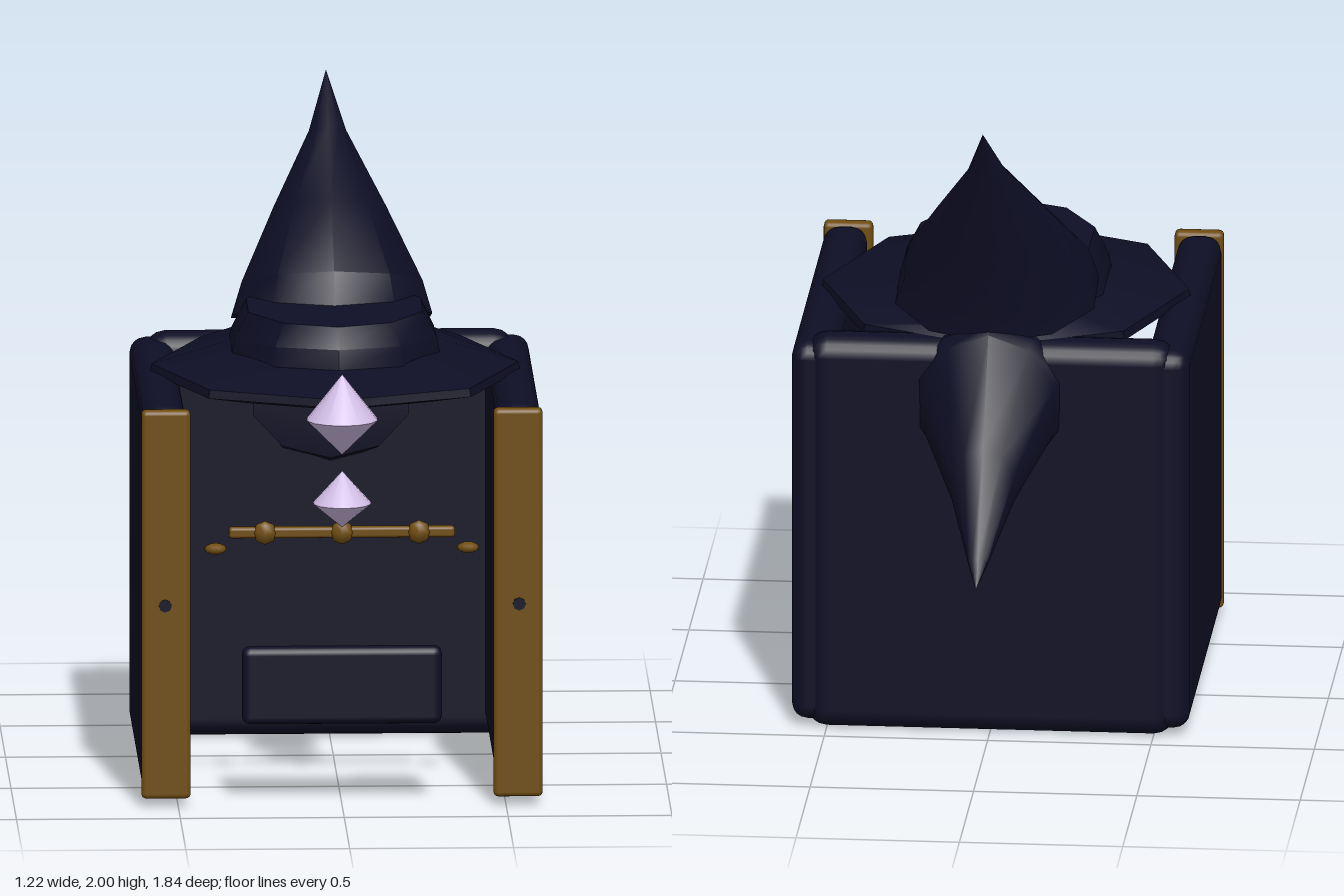
import * as THREE from 'three';
import { toCreasedNormals } from 'three/addons/utils/BufferGeometryUtils.js';
import { RoundedBoxGeometry } from 'three/addons/geometries/RoundedBoxGeometry.js';

// Skin a stack of tilted ellipses; each ring is [halfWidth, zFront, yFront, zBack, yBack].
function loft(rings, sides, crease = 0.7) {
  const pos = [], index = [];
  for (const [rx, zf, yf, zb, yb] of rings) {
    for (let j = 0; j < sides; j++) {
      const a = (j / sides) * Math.PI * 2, t = (1 + Math.cos(a)) / 2;
      pos.push(rx * Math.sin(a), yb + (yf - yb) * t, zb + (zf - zb) * t);
    }
  }
  for (let i = 0; i < rings.length - 1; i++) {
    for (let j = 0; j < sides; j++) {
      const k = (j + 1) % sides, a = i * sides, b = a + sides;
      index.push(a + j, a + k, b + k, a + j, b + k, b + j);
    }
  }
  const g = new THREE.BufferGeometry();
  g.setAttribute('position', new THREE.Float32BufferAttribute(pos, 3));
  g.setIndex(index);
  return toCreasedNormals(g, crease);
}

export function createModel() {
  const model = new THREE.Group();
  const material = (name, color) => {
    const m = new THREE.MeshStandardMaterial({ color });
    m.name = name;
    return m;
  };
  const navy = material('midnight navy', 0x0e0e25);
  const gold = material('dark gold', 0x704d10);
  const lilac = material('pale lilac', 0xd0bce4);

  const add = (name, geometry, mat, x = 0, y = 0, z = 0) => {
    const mesh = new THREE.Mesh(geometry, mat);
    mesh.name = name;
    mesh.position.set(x, y, z);
    model.add(mesh);
    return mesh;
  };
  const box = (w, h, d, r) => new RoundedBoxGeometry(w, h, d, 2, r);

  // Back wall and low front plate
  add('backPanel', box(1.12, 1.25, 0.155, 0.06), navy, 0, 0.625, -0.363);
  add('frontPlate', box(0.61, 0.24, 0.065, 0.025), navy, 0, 0.37, 0.778);

  // Side walls with gold front edges, rivets and end beads
  for (const s of [-1, 1]) {
    const side = s > 0 ? 'left' : 'right';
    add(side + 'Panel', box(0.135, 1.21, 1.21, 0.05), navy, s * 0.542, 0.625, 0.175);
    add(side + 'Trim', box(0.15, 1.205, 0.05, 0.015), gold, s * 0.537, 0.627, 0.793);
    const rivet = new THREE.CylinderGeometry(0.02, 0.02, 0.006, 8).rotateX(Math.PI / 2);
    add(side + 'Rivet', rivet, navy, s * 0.54, 0.625, 0.819);
    const bead = new THREE.SphereGeometry(0.034, 10, 6).scale(1, 0.5, 1);
    add(side + 'Bead', bead, gold, s * 0.385, 0.793, 0.772);
  }

  // Gold rail with three studs
  add('rail', box(0.69, 0.034, 0.034, 0.01), gold, 0, 0.845, 0.78);
  for (const x of [-0.235, 0, 0.235]) {
    add('railStud', new THREE.SphereGeometry(0.037, 8, 4).scale(1, 1, 0.7), gold, x, 0.845, 0.79);
  }

  // Double-pointed gems
  const gem = (name, r, waist, top, bottom) => {
    const points = [[0, bottom - waist], [r, 0], [0, top - waist]];
    const g = new THREE.LatheGeometry(points.map((p) => new THREE.Vector2(...p)), 14);
    add(name, toCreasedNormals(g, 0.7), lilac, 0, waist, 0.81);
  };
  gem('upperGem', 0.11, 1.2, 1.34, 1.09);
  gem('lowerGem', 0.09, 0.94, 1.04, 0.865);

  // Roof brim, sloping up to the crown
  add('brim', loft([
    [0, 0.155, 1.18, 0.155, 1.18],
    [0.4, 0.56, 1.18, -0.3, 1.18],
    [0.565, 0.77, 1.225, -0.45, 1.22],
    [0.56, 0.765, 1.25, -0.45, 1.25],
    [0.34, 0.55, 1.3, -0.4, 1.3],
    [0, 0.1, 1.31, 0.1, 1.31],
  ], 8), navy);
  add('crown', loft([
    [0.335, 0.55, 1.29, -0.38, 1.28],
    [0.325, 0.53, 1.36, -0.37, 1.3],
    [0.28, 0.47, 1.42, -0.25, 1.42],
    [0, 0.1, 1.42, 0.1, 1.42],
  ], 10), navy);

  // Tall spike leaning back
  add('upperSpike', loft([
    [0, -0.16, 1.34, -0.16, 1.34],
    [0.32, 0.13, 1.41, -0.45, 1.26],
    [0.29, 0.09, 1.52, -0.46, 1.33],
    [0.18, -0.2, 1.69, -0.53, 1.56],
    [0.06, -0.48, 1.86, -0.6, 1.8],
    [0, -0.67, 2, -0.67, 2],
  ], 10), navy);

  // Spike drooping from the back wall, its root showing inside
  add('lowerSpike', loft([
    [0, -0.2, 1.09, -0.2, 1.09],
    [0.25, -0.22, 1.27, -0.22, 0.88],
    [0.24, -0.42, 1.31, -0.42, 0.82],
    [0.21, -0.47, 1.29, -0.45, 0.81],
    [0.1, -0.67, 0.99, -0.66, 0.735],
    [0.03, -0.85, 0.7, -0.84, 0.66],
    [0, -0.92, 0.62, -0.92, 0.62],
  ], 10), navy);

  return model;
}
